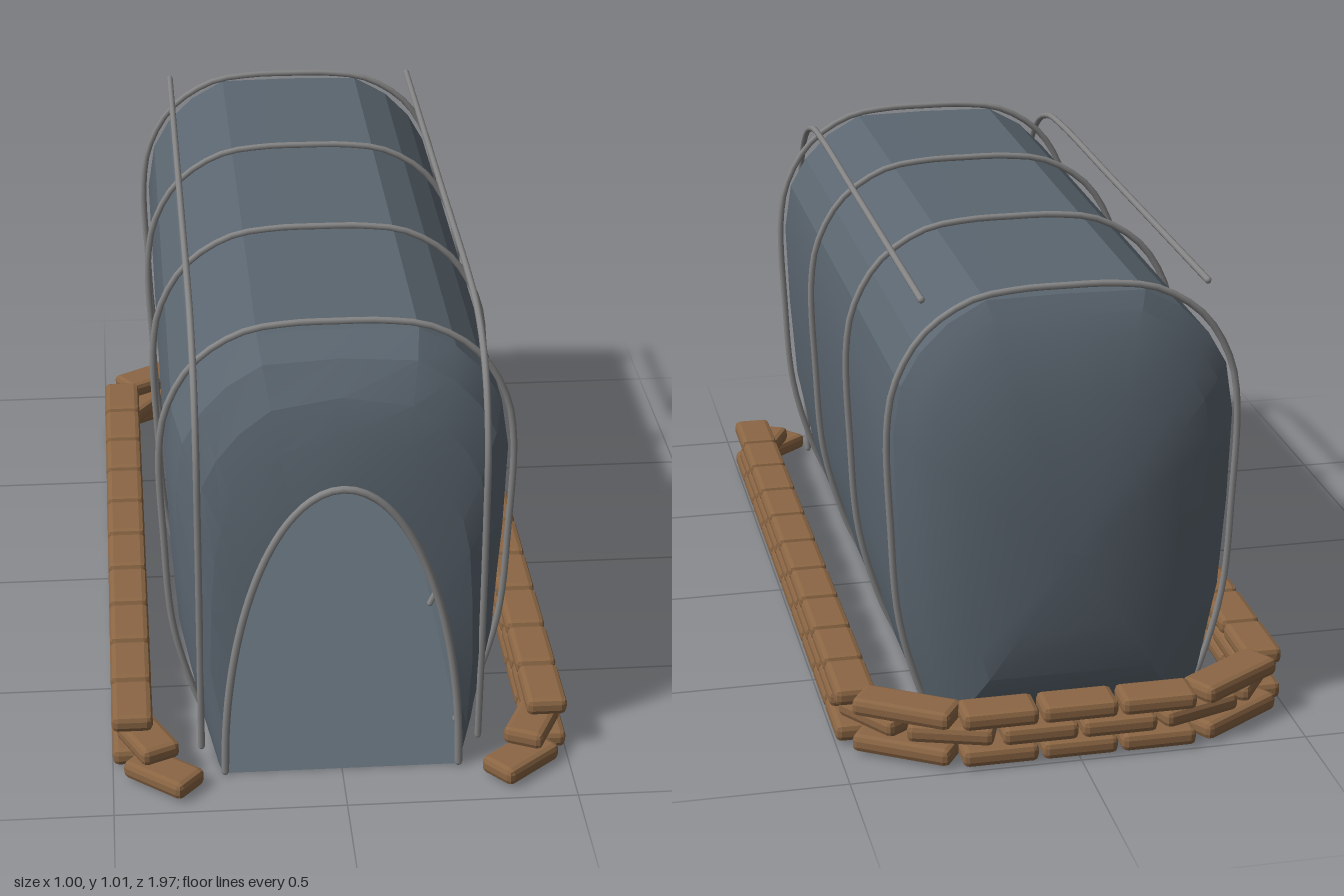
import * as THREE from 'three';
import { toCreasedNormals } from 'three/addons/utils/BufferGeometryUtils.js';
import { RoundedBoxGeometry } from 'three/addons/geometries/RoundedBoxGeometry.js';

const canvasMat = new THREE.MeshStandardMaterial({ color: 0x5b6670, side: THREE.DoubleSide });
const rodMat = new THREE.MeshStandardMaterial({ color: 0x858585 });
const brickMat = new THREE.MeshStandardMaterial({ color: 0x8b6644, flatShading: true });

// Half cross-section of the shelter, from ground to ridge
const HALF = [[0.275, 0], [0.305, 0.1], [0.345, 0.3], [0.36, 0.5], [0.367, 0.7],
  [0.35, 0.81], [0.31, 0.88], [0.25, 0.94], [0.17, 0.985], [0, 0.988]];
const mirrored = (half) => [...half, ...half.slice(0, -1).reverse().map(([x, y]) => [-x, y])];
const SECTION = mirrored(HALF);

const MOUTH_W = 0.255, MOUTH_H = 0.7;

// Ring that blends the section into the mouth arch by k, or shrinks it by s for the domed back
function ring(z, k, s) {
  return SECTION.map(([x, y]) => {
    const a = Math.atan2(y / 0.99, x / 0.37);
    const bx = x + (MOUTH_W * Math.cos(a) - x) * k;
    const by = y + (MOUTH_H * Math.sin(a) - y) * k;
    return [bx * s, 0.45 + (by - 0.45) * s, z];
  });
}

function shelterGeometry() {
  const rings = [
    [0.86, 1, 1], [0.845, 0.6, 1], [0.82, 0.35, 1], [0.77, 0.12, 1], [0.7, 0, 1],
    [-0.82, 0, 1], [-0.845, 0, 0.93], [-0.87, 0, 0.83], [-0.9, 0, 0.65],
    [-0.92, 0, 0.4], [-0.93, 0, 0.18], [-0.933, 0, 0.001],
  ].map((r) => ring(...r));
  const n = SECTION.length;
  const index = [];
  for (let j = 0; j < rings.length - 1; j++) {
    for (let i = 0; i < n; i++) {
      const a = j * n + i, b = j * n + (i + 1) % n;
      index.push(a, a + n, b, b, a + n, b + n);
    }
  }
  const g = new THREE.BufferGeometry();
  g.setAttribute('position', new THREE.Float32BufferAttribute(rings.flat(2), 3));
  g.setIndex(index);
  return toCreasedNormals(g, 0.25);
}

// Bent round rod with capped ends
function rod(name, points, radius = 0.0075, segments = 64) {
  const group = new THREE.Group();
  group.name = name;
  const pts = points.map((p) => new THREE.Vector3(...p));
  const curve = new THREE.CatmullRomCurve3(pts, false, 'centripetal');
  const tube = new THREE.Mesh(new THREE.TubeGeometry(curve, segments, radius, 8), rodMat);
  tube.name = name + 'Tube';
  group.add(tube);
  for (const end of [pts[0], pts[pts.length - 1]]) {
    const cap = new THREE.Mesh(new THREE.SphereGeometry(radius, 8, 6), rodMat);
    cap.name = name + 'End';
    cap.position.copy(end);
    group.add(cap);
  }
  return group;
}

// Centre line of the low wall, one half: [brick count, x, z]
const WALL = [[-1, 0.325, 0.94], [0, 0.455, 0.83], [10, 0.455, -0.83], [11, 0.26, -0.955], [12.5, 0, -0.955]];

function wallPoint(u) {
  if (u > 12.5) {
    const p = wallPoint(25 - u);
    return new THREE.Vector2(-p.x, p.y);
  }
  const i = Math.max(1, WALL.findIndex((w) => w[0] >= u));
  const [u0, x0, z0] = WALL[i - 1], [u1, x1, z1] = WALL[i];
  const t = (u - u0) / (u1 - u0);
  return new THREE.Vector2(x0 + (x1 - x0) * t, z0 + (z1 - z0) * t);
}

function brickCourse(name, y, start) {
  const group = new THREE.Group();
  group.name = name;
  for (let u = start; u + 1 <= 25 - start; u++) {
    const a = wallPoint(u), b = wallPoint(u + 1);
    const length = a.distanceTo(b) - 0.008;
    const brick = new THREE.Mesh(new RoundedBoxGeometry(0.09, 0.04, length, 1, 0.013), brickMat);
    brick.name = 'brick';
    brick.position.set((a.x + b.x) / 2, y, (a.y + b.y) / 2);
    brick.rotation.y = Math.atan2(b.x - a.x, b.y - a.y);
    group.add(brick);
  }
  return group;
}

export function createModel() {
  const model = new THREE.Group();
  model.name = 'shelter';

  // Cloth body, open at the front arch
  const body = new THREE.Mesh(shelterGeometry(), canvasMat);
  body.name = 'shelterBody';
  model.add(body);

  // Hoops over the body
  const hoop = mirrored([[0.27, 0.008], [0.31, 0.1], [0.358, 0.28], [0.374, 0.5], [0.379, 0.72],
    [0.36, 0.82], [0.3, 0.92], [0.2, 0.985], [0.1, 1.002], [0, 1.004]]);
  for (const z of [0.695, 0.19, -0.31, -0.815]) {
    model.add(rod('hoop', hoop.map(([x, y]) => [x, y, z])));
  }

  // Long rods along the roof, bending down at the front
  for (const x of [0.305, -0.305]) {
    model.add(rod('roofRod', [[x, 0.996, -0.82], [x, 0.996, 0], [x, 0.996, 0.45], [x, 0.985, 0.6],
      [x, 0.945, 0.71], [x, 0.87, 0.79], [x, 0.76, 0.835], [x, 0.6, 0.84], [x, 0.3, 0.83], [x, 0.04, 0.81]]));
  }

  // Rod around the entrance
  const arch = [];
  for (let i = 0; i <= 20; i++) {
    const a = (i / 20) * Math.PI;
    arch.push([(MOUTH_W + 0.001) * Math.cos(a), 0.008 + 0.688 * Math.sin(a), 0.864]);
  }
  model.add(rod('entranceArch', arch, 0.0085));

  // Three staggered brick courses around the sides and back
  model.add(brickCourse('bottomCourse', 0.025, -1));
  model.add(brickCourse('middleCourse', 0.067, -0.5));
  model.add(brickCourse('topCourse', 0.11, 0));
  return model;
}
